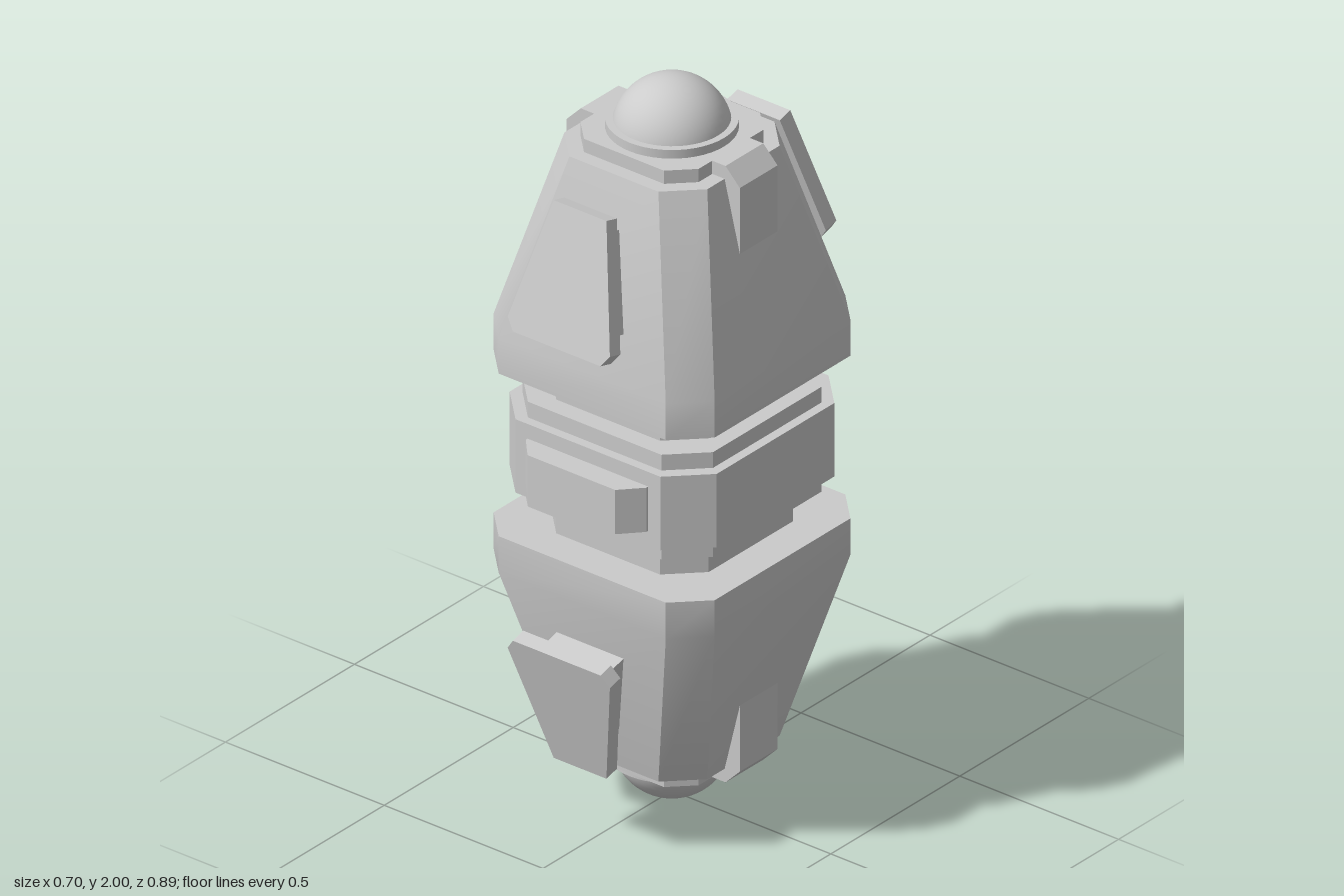
import * as THREE from 'three';
import { toCreasedNormals } from 'three/addons/utils/BufferGeometryUtils.js';

const mat = new THREE.MeshStandardMaterial({ color: 0xcccccc });

function add(parent, name, geometry) {
  const mesh = new THREE.Mesh(geometry, mat);
  mesh.name = name;
  parent.add(mesh);
  return mesh;
}

// Square with cut corners, lofted through levels of [y, half width]
function loft(levels, cut) {
  const pos = [];
  const rings = levels.map(([y, h]) => {
    const f = h - cut;
    return [[f, h], [h, f], [h, -f], [f, -h], [-f, -h], [-h, -f], [-h, f], [-f, h]]
      .map(([x, z]) => [x, y, z]);
  });
  const tri = (a, b, c) => pos.push(...a, ...b, ...c);
  for (let r = 0; r < rings.length - 1; r++) {
    const lo = rings[r], hi = rings[r + 1];
    for (let i = 0; i < 8; i++) {
      const j = (i + 1) % 8;
      tri(lo[i], lo[j], hi[j]);
      tri(lo[i], hi[j], hi[i]);
    }
  }
  const lo = rings[0], hi = rings[rings.length - 1];
  for (let i = 1; i < 7; i++) {
    tri(hi[0], hi[i], hi[i + 1]);
    tri(lo[0], lo[i + 1], lo[i]);
  }
  const g = new THREE.BufferGeometry();
  g.setAttribute('position', new THREE.Float32BufferAttribute(pos, 3));
  return toCreasedNormals(g, 0.5);
}

// Flat outline extruded along z, starting at z0
function slab(points, z0, depth) {
  const shape = new THREE.Shape(points.map(([x, y]) => new THREE.Vector2(x, y)));
  return new THREE.ExtrudeGeometry(shape, { depth, bevelEnabled: false }).translate(0, 0, z0);
}

// One end of the body, measured upward from the middle
function makeEnd(name) {
  const end = new THREE.Group();
  end.name = name;

  add(end, 'taperedShell', loft([[0.228, 0.348], [0.33, 0.348], [0.827, 0.225]], 0.085));
  add(end, 'endCap', loft([[0.82, 0.186], [0.864, 0.186]], 0.06));
  add(end, 'domeCollar', new THREE.CylinderGeometry(0.164, 0.164, 0.03, 48).translate(0, 0.873, 0));
  add(end, 'dome', new THREE.SphereGeometry(0.15, 48, 16, 0, Math.PI * 2, 0, Math.PI / 2)
    .translate(0, 0.85, 0));

  // Side tabs with a bevelled outer top edge
  for (const s of [1, -1]) {
    const tab = add(end, s > 0 ? 'leftTab' : 'rightTab', slab(
      [[0.17, 0.6], [0.273, 0.6], [0.273, 0.818], [0.228, 0.864], [0.17, 0.864]], -0.073, 0.146));
    tab.rotation.y = s > 0 ? 0 : Math.PI;
  }

  // Tilted plates on mounts, front and back
  for (const s of [1, -1]) {
    const side = new THREE.Group();
    side.name = s > 0 ? 'frontPanel' : 'backPanel';
    side.rotation.y = s > 0 ? 0 : Math.PI;
    const tilt = new THREE.Group();
    tilt.name = 'tiltedPanel';
    tilt.position.set(0, 0.597, 0.361);
    tilt.rotation.x = -0.255;
    add(tilt, 'panelMount', slab(
      [[-0.105, -0.127], [0.105, -0.127], [0.042, 0.125], [-0.042, 0.125]], -0.1, 0.105));
    add(tilt, 'panelPlate', slab(
      [[-0.138, -0.18], [0.138, -0.18], [0.161, -0.148], [0.083, 0.18], [-0.083, 0.18], [-0.161, -0.148]],
      0, 0.042));
    side.add(tilt);
    end.add(side);
  }
  return end;
}

export function createModel() {
  const model = new THREE.Group();
  model.name = 'capsule';
  const body = new THREE.Group();
  body.name = 'body';
  body.position.y = 1;
  model.add(body);

  const upper = makeEnd('upperEnd');
  const lower = makeEnd('lowerEnd');
  lower.rotation.z = Math.PI;
  body.add(upper, lower);

  // Stepped waist
  const waist = new THREE.Group();
  waist.name = 'waist';
  add(waist, 'waistCore', loft([[-0.24, 0.248], [0.24, 0.248]], 0.085));
  add(waist, 'waistFlange', loft([[-0.147, 0.3], [0.147, 0.3]], 0.09));
  add(waist, 'waistBand', loft([[-0.103, 0.326], [0.103, 0.326]], 0.098));

  // Blocks with slanted ends on the front and back of the band
  for (const s of [1, -1]) {
    const block = add(waist, s > 0 ? 'frontBlock' : 'backBlock', slab(
      [[-0.19, -0.31], [-0.19, -0.333], [-0.138, -0.39], [0.138, -0.39], [0.19, -0.333], [0.19, -0.31]],
      -0.062, 0.124).rotateX(-Math.PI / 2));
    block.rotation.y = s > 0 ? 0 : Math.PI;
  }
  body.add(waist);
  return model;
}
